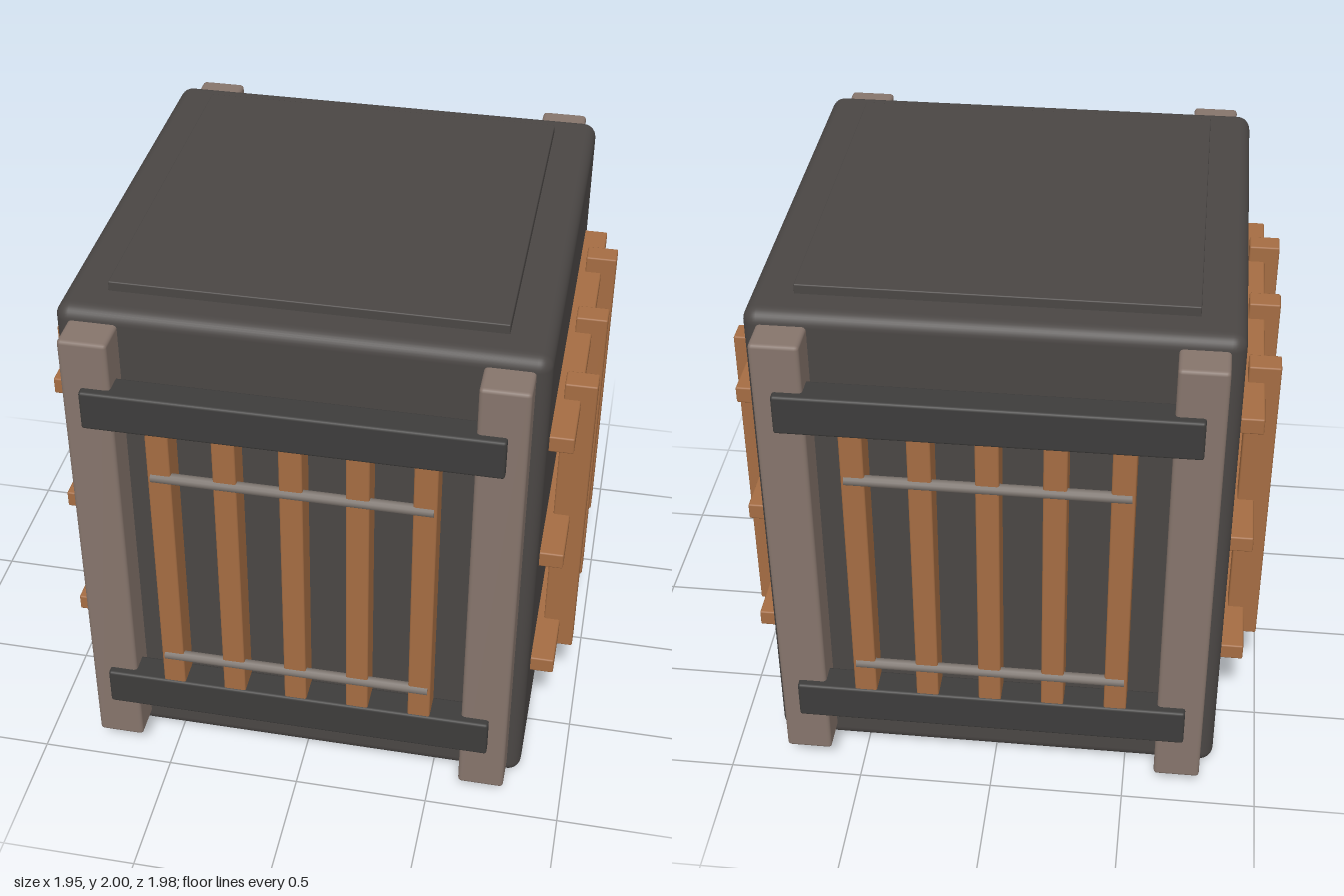
import * as THREE from 'three';
import { RoundedBoxGeometry } from 'three/addons/geometries/RoundedBoxGeometry.js';

const mat = (name, color) => Object.assign(new THREE.MeshStandardMaterial({ color }), { name });

export function createModel() {
  const shell = mat('charcoal shell', 0x4a4644);
  const iron = mat('dark iron', 0x3d3c3b);
  const post = mat('taupe timber', 0x85746b);
  const wood = mat('warm wood', 0xa46c42);
  const steel = mat('grey rod', 0x7b736d);

  const model = new THREE.Group();
  model.name = 'crate';

  // Box from centre and size, with softened edges
  const box = (parent, name, material, size, pos, radius = 0.006, segments = 1) => {
    const mesh = new THREE.Mesh(new RoundedBoxGeometry(...size, segments, radius), material);
    mesh.name = name;
    mesh.position.set(...pos);
    parent.add(mesh);
    return mesh;
  };

  // Body with raised panels on the top and bottom
  box(model, 'body', shell, [1.67, 1.93, 1.67], [0, 1, 0], 0.05, 4);
  box(model, 'topPanel', shell, [1.36, 0.06, 1.4], [0, 1.97, 0], 0.004);
  box(model, 'bottomPanel', shell, [1.36, 0.06, 1.4], [0, 0.03, 0], 0.004);

  // Barred face: corner posts, cross rails, upright bars and thin rods
  const barredFace = (name, turn) => {
    const face = new THREE.Group();
    face.name = name;
    for (const s of [-1, 1]) {
      box(face, 'cornerPost', post, [0.17, 1.83, 0.14], [s * 0.7, 1.005, 0.89], 0.014, 2);
      box(face, 'crossRail', iron, [1.435, 0.15, 0.11], [0, 1.015 + s * 0.65, 0.935], 0.01, 2);
      const rod = new THREE.Mesh(new THREE.CylinderGeometry(0.02, 0.02, 0.98, 12), steel);
      rod.name = 'rod';
      rod.rotation.z = Math.PI / 2;
      rod.position.set(0, 0.985 + s * 0.42, 0.972);
      face.add(rod);
    }
    for (let i = -2; i <= 2; i++) {
      box(face, 'bar', wood, [0.082, 1.22, 0.105], [i * 0.23, 1.015, 0.93]);
    }
    face.rotation.y = turn;
    model.add(face);
  };
  barredFace('frontFace', 0);
  barredFace('backFace', Math.PI);

  // Lattice on each side
  for (const s of [-1, 1]) {
    const lattice = new THREE.Group();
    lattice.name = s > 0 ? 'leftLattice' : 'rightLattice';
    for (let i = -1; i <= 1; i++) {
      box(lattice, 'uprightSlat', wood, [0.115, 1.23, 0.085], [s * 0.918, 1.005, i * 0.42]);
      box(lattice, 'crossSlat', wood, [0.09, 0.063, 1.375], [s * 0.876, 1.005 + i * 0.52, 0]);
    }
    model.add(lattice);
  }
  return model;
}
